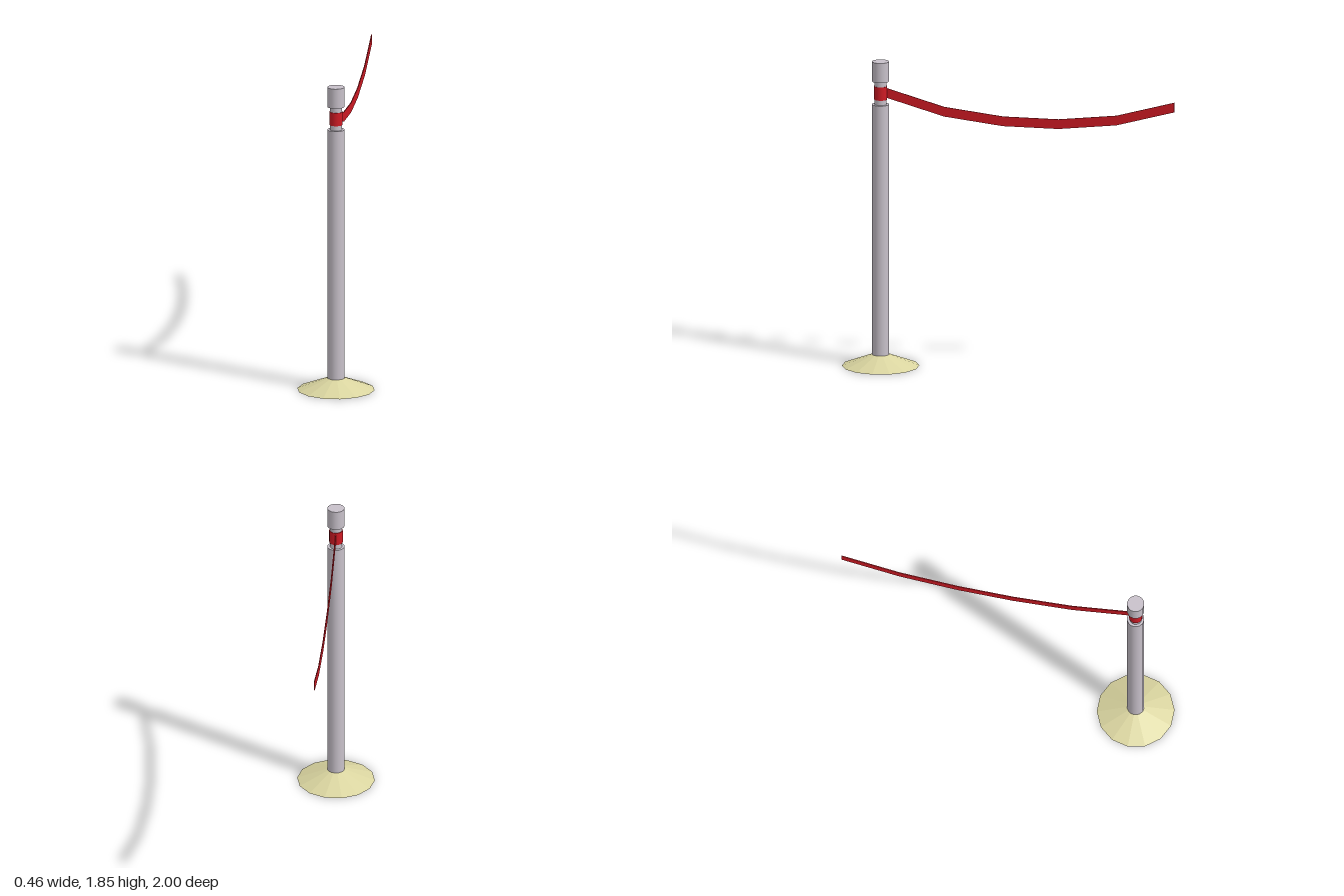
import * as THREE from 'three';

export function createModel() {
  const group = new THREE.Group();
  const postZ = 0.775;
  const metal = new THREE.MeshStandardMaterial({ color: 0xc8c1ca });
  const red = new THREE.MeshStandardMaterial({ color: 0xcf1a24 });
  const cream = new THREE.MeshStandardMaterial({ color: 0xdad5a0, flatShading: true });

  function add(name, geometry, material) {
    const mesh = new THREE.Mesh(geometry, material);
    mesh.name = name;
    group.add(mesh);
  }

  // Upright round part between two heights, centred on the post
  function round(name, rBottom, rTop, y0, y1, sides, material) {
    const geo = new THREE.CylinderGeometry(rTop, rBottom, y1 - y0, sides, 1, false, Math.PI / 2);
    geo.translate(0, (y0 + y1) / 2, postZ);
    add(name, geo, material);
  }

  round('base', 0.23, 0.05, 0, 0.07, 14, cream);
  round('pole', 0.051, 0.051, 0.068, 1.59, 16, metal);
  round('neck', 0.036, 0.036, 1.58, 1.74, 16, metal);
  round('beltBand', 0.04, 0.04, 1.62, 1.7, 16, red);
  round('cap', 0.051, 0.051, 1.73, 1.85, 16, metal);

  // Sagging belt: top edge as (z, y), swept down by the belt height
  const top = [[0.74, 1.69], [0.39, 1.593], [0.035, 1.553], [-0.3, 1.553], [-0.65, 1.593], [-1, 1.69]];
  const height = 0.058;
  const outline = [
    ...top.map(([z, y]) => new THREE.Vector2(-z, y)),
    ...top.slice().reverse().map(([z, y]) => new THREE.Vector2(-z, y - height)),
  ];
  const thickness = 0.005;
  const belt = new THREE.ExtrudeGeometry(new THREE.Shape(outline), { depth: thickness, bevelEnabled: false });
  belt.translate(0, 0, -thickness / 2);
  belt.rotateY(Math.PI / 2);
  add('belt', belt, red);

  return group;
}
